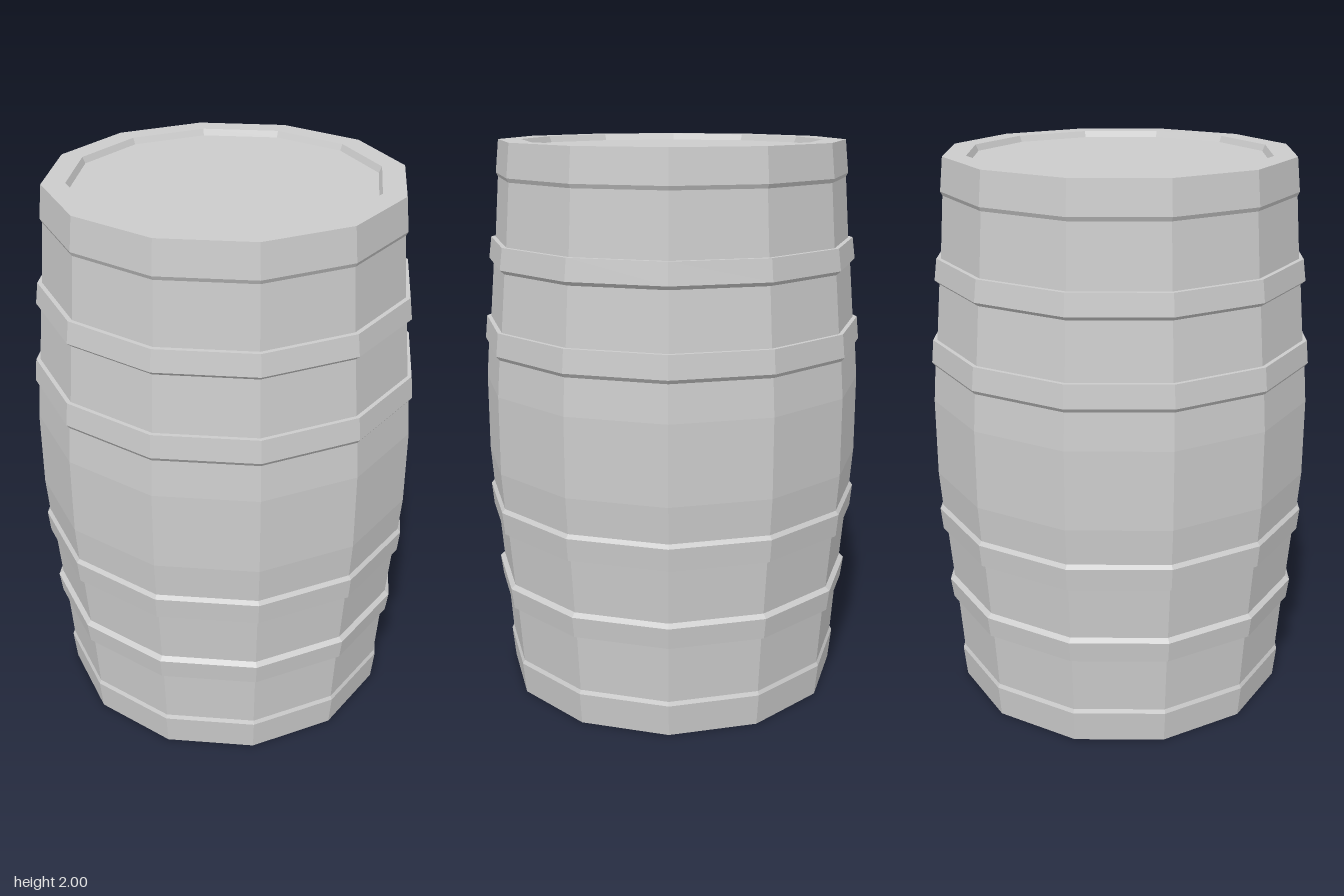
import * as THREE from 'three';

const SIDES = 12;

export function createModel() {
  const barrel = new THREE.Group();
  barrel.name = 'barrel';
  const material = new THREE.MeshStandardMaterial({ color: 0xcccccc, flatShading: true });

  // Spins a [radius, y] profile, listed from bottom to top, around the y axis
  const spin = (name, profile) => {
    const points = profile.map(([r, y]) => new THREE.Vector2(r, y));
    const mesh = new THREE.Mesh(new THREE.LatheGeometry(points, SIDES), material);
    mesh.name = name;
    barrel.add(mesh);
  };
  // Mirrors a profile top to bottom, keeping its faces outward
  const flip = (profile) => profile.map(([r, y]) => [r, 2 - y]).reverse();

  // Staves with a recessed head at both ends
  const lowerHalf = [
    [0, 0.022], [0.526, 0.022], [0.536, 0], [0.606, 0],
    [0.622, 0.13], [0.638, 0.345], [0.648, 0.435], [0.665, 0.635], [0.677, 0.73], [0.687, 0.86],
  ];
  spin('staves', [...lowerHalf, ...flip(lowerHalf)]);

  // Hoops: flared bands with a small chamfer on the edge facing the middle
  const hoops = [
    // name, bottom y, top y, inner and outer radius at the bottom, then at the top
    ['EndHoop', 0, 0.13, 0.606, 0.617, 0.622, 0.629],
    ['QuarterHoop', 0.345, 0.435, 0.638, 0.654, 0.648, 0.664],
    ['BilgeHoop', 0.635, 0.73, 0.665, 0.68, 0.677, 0.688],
  ];
  for (const [name, y0, y1, in0, out0, in1, out1] of hoops) {
    const band = [[in0, y0], [out0, y0], [out1, y1 - 0.014], [in1, y1]];
    spin('lower' + name, band);
    spin('upper' + name, flip(band));
  }

  return barrel;
}
